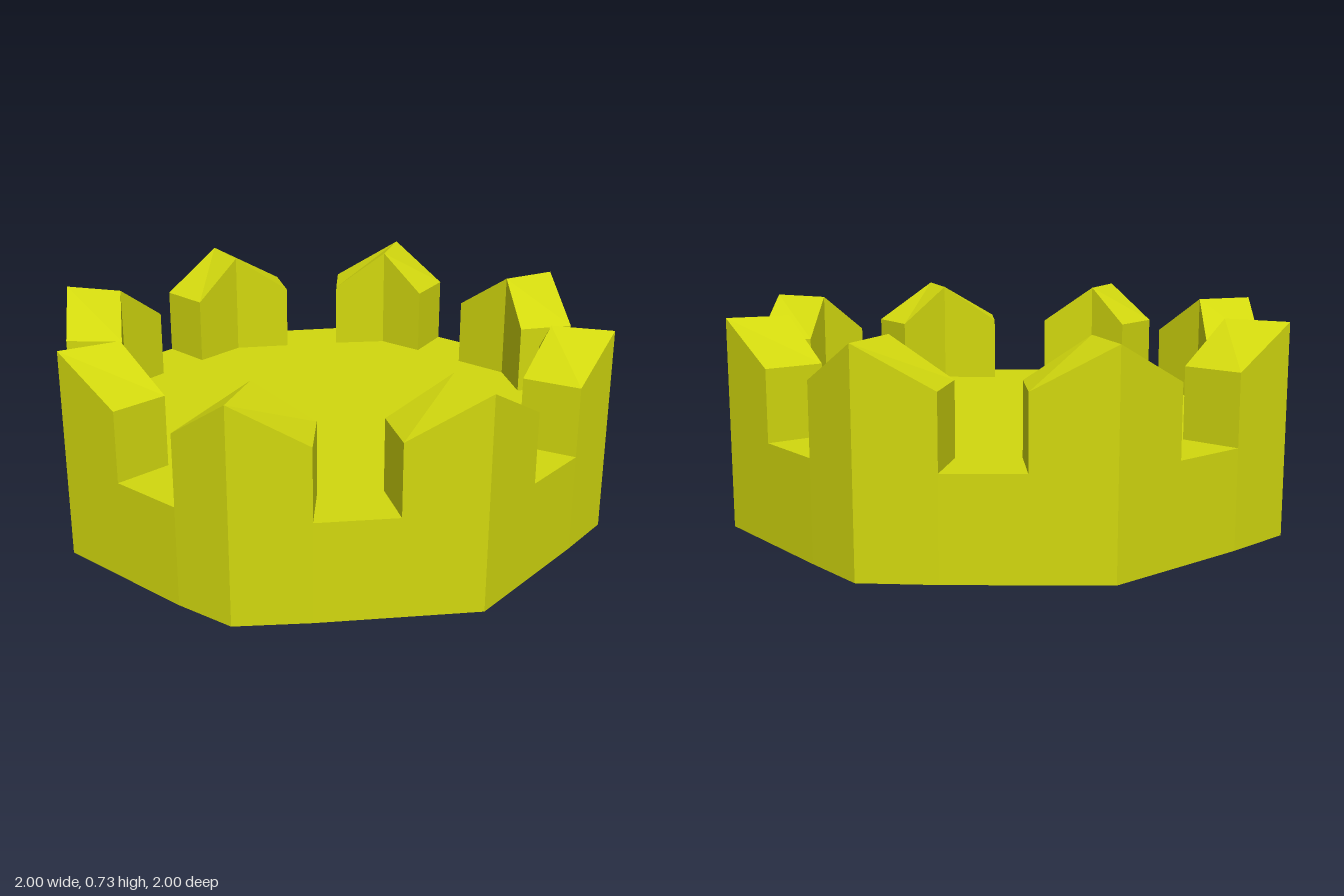
import * as THREE from 'three';

const FLOOR = 0.343, SHOULDER = 0.588, PEAK = 0.728, INNER = 0.787;

// Outline [x, z], counter-clockwise from above; every third point is a corner
const leftSide = [
  [0, 1], [0.25, 0.9], [0.5, 0.8], [0.709, 0.709], [0.82, 0.5], [0.91, 0.25], [1, 0],
  [0.91, -0.25], [0.82, -0.5], [0.735, -0.72], [0.5, -0.82], [0.25, -0.91], [0, -1],
];
const rightSide = leftSide.slice(1, -1).reverse().map(([x, z]) => [-x, z]);
rightSide[8] = [-0.73, 0.695]; // this corner is a little off the mirror
const outline = [...leftSide, ...rightSide];

const material = new THREE.MeshStandardMaterial({ color: 0xd2d80e, flatShading: true });

// Solid slab below the battlements
function baseGeometry() {
  const shape = new THREE.Shape(outline.map(([x, z]) => new THREE.Vector2(x, -z)));
  return new THREE.ExtrudeGeometry(shape, { depth: FLOOR, bevelEnabled: false }).rotateX(-Math.PI / 2);
}

// Gabled block skinned over three radial sections: shoulder, ridge, shoulder
function merlonGeometry(points) {
  const sections = points.map(([x, z], i) => {
    const top = i === 1 ? PEAK : SHOULDER;
    return [
      [x, FLOOR, z], [x, top, z],
      [x * INNER, top, z * INNER], [x * INNER, FLOOR, z * INNER],
    ];
  });
  const positions = [];
  const quad = (a, b, c, d) => [a, b, c, a, c, d].forEach((p) => positions.push(...p));
  for (let i = 0; i < 2; i++) {
    const a = sections[i], b = sections[i + 1];
    for (let k = 0; k < 4; k++) {
      const n = (k + 1) % 4;
      quad(a[k], b[k], b[n], a[n]);
    }
  }
  quad(...sections[0]);
  quad(...[...sections[2]].reverse());
  const geometry = new THREE.BufferGeometry();
  geometry.setAttribute('position', new THREE.Float32BufferAttribute(positions, 3));
  geometry.computeVertexNormals();
  return geometry;
}

export function createModel() {
  const model = new THREE.Group();
  model.name = 'battlementRing';

  const base = new THREE.Mesh(baseGeometry(), material);
  base.name = 'base';
  model.add(base);

  // One merlon on each of the eight corners
  const count = outline.length;
  for (let i = 0; i < count; i += 3) {
    const points = [-1, 0, 1].map((o) => outline[(i + o + count) % count]);
    const merlon = new THREE.Mesh(merlonGeometry(points), material);
    merlon.name = `merlon${i / 3 + 1}`;
    model.add(merlon);
  }
  return model;
}
